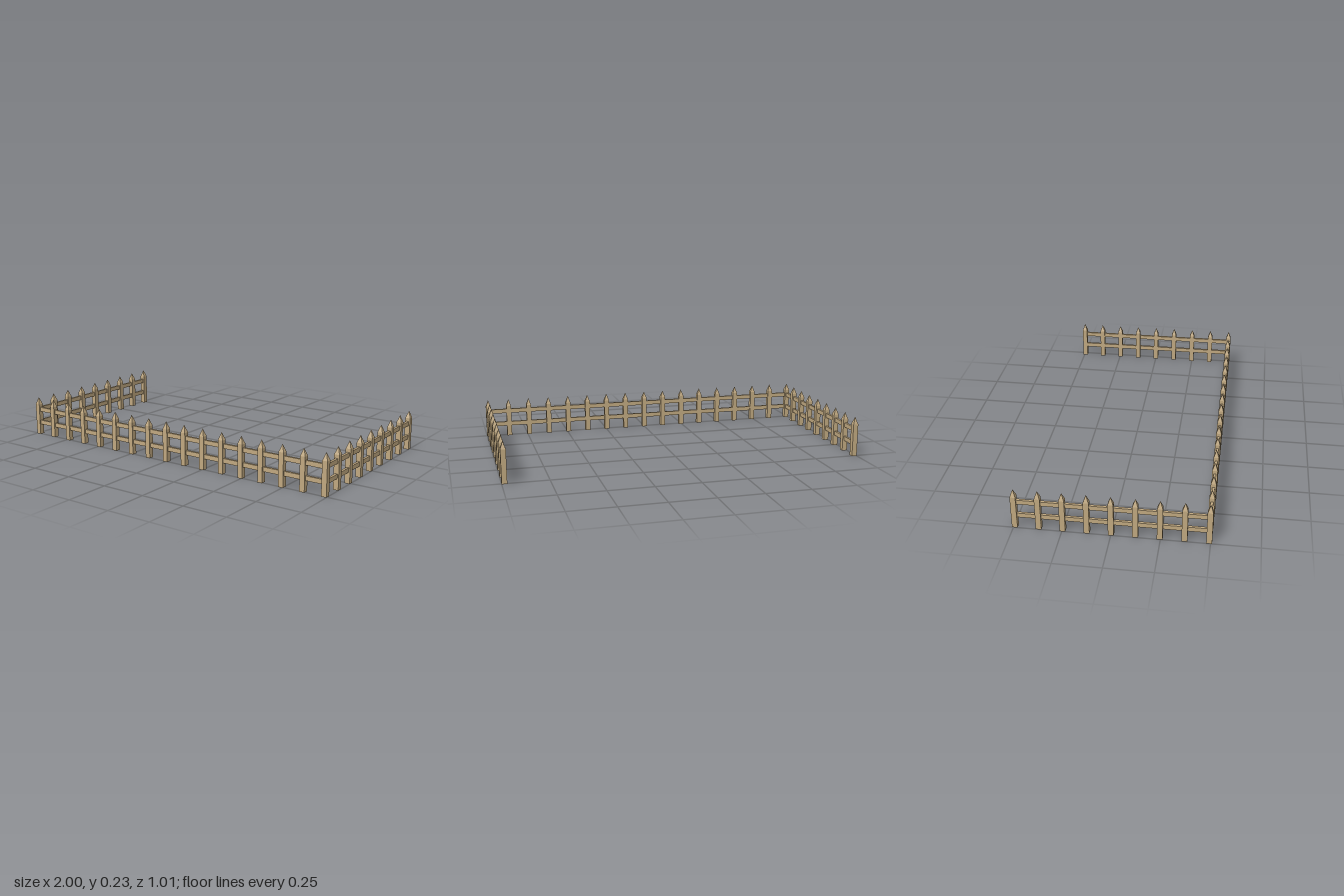
import * as THREE from 'three';

export function createModel() {
  const model = new THREE.Group();
  model.name = 'picketFence';

  const wood = new THREE.MeshStandardMaterial({ color: 0xc0a880 });
  wood.name = 'light wood';

  const HALF_X = 0.9855, HALF_Z = 0.493;
  const WIDTH = 0.029, SHOULDER = 0.185, TIP = 0.226;

  // Square post and its four-sided point
  const postGeo = new THREE.BoxGeometry(WIDTH, SHOULDER, WIDTH);
  postGeo.translate(0, SHOULDER / 2, 0);
  const pointGeo = new THREE.ConeGeometry(WIDTH / Math.SQRT2, TIP - SHOULDER, 4, 1, true).toNonIndexed();
  pointGeo.rotateY(Math.PI / 4);
  pointGeo.translate(0, (SHOULDER + TIP) / 2, 0);
  pointGeo.computeVertexNormals();

  function addPicket(x, z) {
    const picket = new THREE.Group();
    picket.name = 'picket';
    const post = new THREE.Mesh(postGeo, wood);
    post.name = 'post';
    const point = new THREE.Mesh(pointGeo, wood);
    point.name = 'postPoint';
    picket.add(post, point);
    picket.position.set(x, 0, z);
    model.add(picket);
  }

  // Front row with both corners, then the two side rows
  for (let i = 0; i <= 16; i++) addPicket(-HALF_X + (i / 16) * 2 * HALF_X, HALF_Z);
  for (const side of [-1, 1]) {
    for (let i = 0; i < 8; i++) addPicket(side * HALF_X, -HALF_Z + (i / 8) * 2 * HALF_Z);
  }

  // Two rails along each run, centred in the posts
  function addRail(name, sx, sz, x, y, z) {
    const rail = new THREE.Mesh(new THREE.BoxGeometry(sx, 0.025, sz), wood);
    rail.name = name;
    rail.position.set(x, y, z);
    model.add(rail);
  }
  for (const y of [0.0735, 0.1535]) {
    addRail('frontRail', 2 * HALF_X, 0.014, 0, y, HALF_Z);
    addRail('leftRail', 0.014, 2 * HALF_Z, HALF_X, y, 0);
    addRail('rightRail', 0.014, 2 * HALF_Z, -HALF_X, y, 0);
  }

  return model;
}
